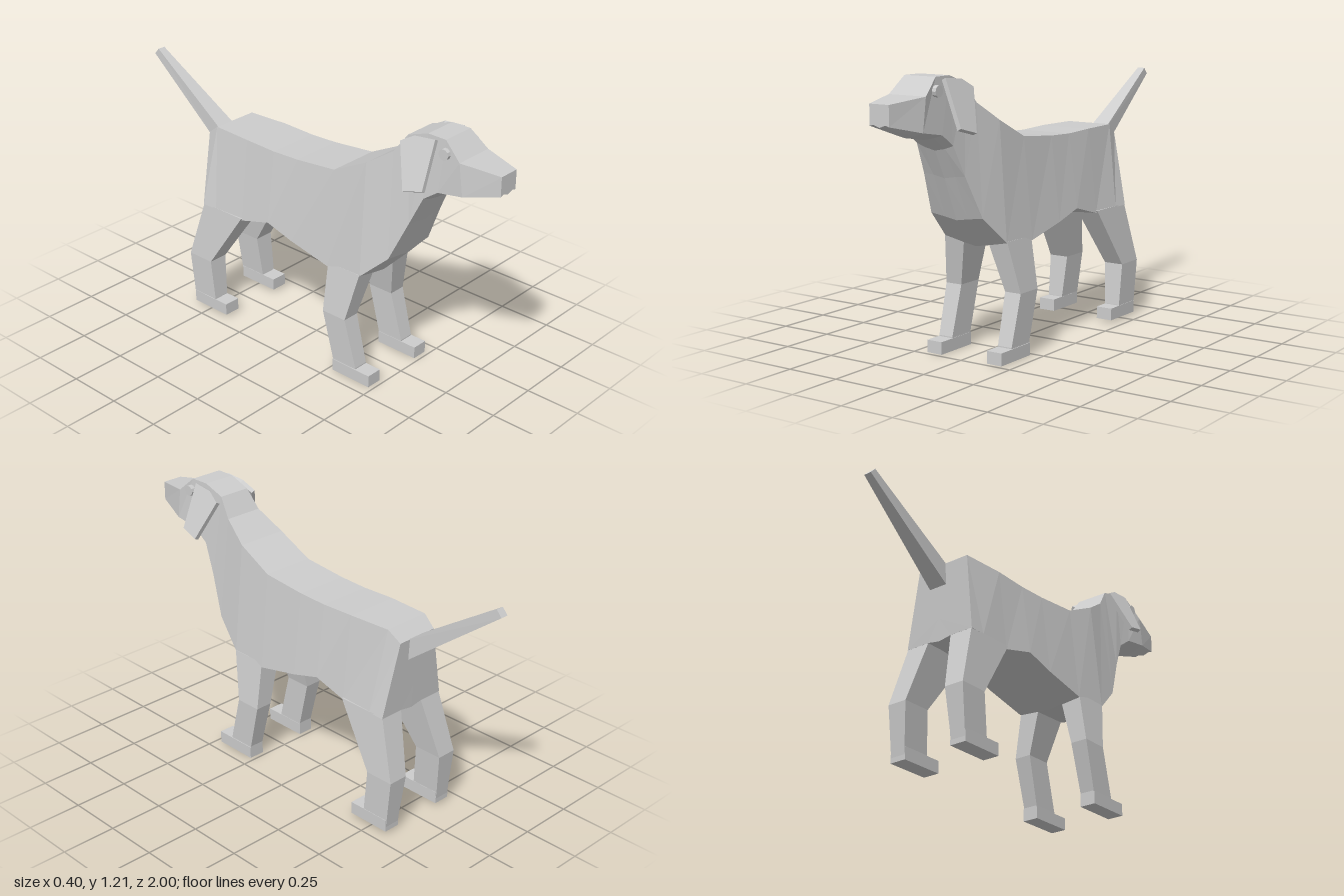
import * as THREE from 'three';

const coat = new THREE.MeshStandardMaterial({ color: 0xcccccc, flatShading: true });
coat.name = 'grey coat';

// Closed faceted skin through rings of [x, y, z] points, always facing outward
function loft(rings) {
  const tris = [], n = rings[0].length;
  const centre = r => [0, 1, 2].map(k => r.reduce((s, p) => s + p[k], 0) / n);
  const first = rings[0], last = rings[rings.length - 1];
  const c0 = centre(first), c1 = centre(last);
  for (let j = 0; j < n; j++) {
    const k = (j + 1) % n;
    for (let i = 0; i < rings.length - 1; i++) {
      const a = rings[i], b = rings[i + 1];
      tris.push([a[j], a[k], b[j]], [a[k], b[k], b[j]]);
    }
    tris.push([first[k], first[j], c0], [last[j], last[k], c1]);
  }
  // Signed volume tells whether the winding must be reversed
  let volume = 0;
  for (const t of tris) {
    const [a, b, c] = t.map(p => new THREE.Vector3(...p));
    volume += a.dot(b.cross(c));
  }
  if (volume < 0) tris.forEach(t => t.reverse());
  const g = new THREE.BufferGeometry();
  g.setAttribute('position', new THREE.Float32BufferAttribute(tris.flat(2), 3));
  g.computeVertexNormals();
  return g;
}

function part(name, geometry) {
  const m = new THREE.Mesh(geometry, coat);
  m.name = name;
  return m;
}

// Torso section: flat top edge, flared lower edge, shallow keel
function bodyRing([zt, yt, wt, zs, ys, ws, yb, wb]) {
  const half = [[wt, yt, zt], [ws, ys, zs], [wb, yb + 0.01, zs]];
  const other = half.map(([x, y, z]) => [-x, y, z]).reverse();
  return [...half, [0, yb, zs], ...other];
}

// Leg section: height, front z, back z, inner x, outer x
function legRing([y, zf, zb, xi, xo], s) {
  return [[s * xi, y, zf], [s * xo, y, zf], [s * xo, y, zb], [s * xi, y, zb]];
}

export function createModel() {
  const dog = new THREE.Group();
  dog.name = 'dog';

  // Head: muzzle, brow and skull
  dog.add(part('head', loft([
    [1.0, 1.12, 0.048, 1.0, 1.035, 0.048, 1.03, 0.03],
    [0.83, 1.14, 0.092, 0.85, 1.0, 0.092, 0.975, 0.05],
    [0.75, 1.21, 0.078, 0.73, 0.98, 0.092, 0.955, 0.05],
    [0.66, 1.21, 0.076, 0.66, 0.93, 0.092, 0.905, 0.05],
  ].map(bodyRing))));

  // Neck, chest, barrel and rump
  dog.add(part('body', loft([
    [0.66, 1.21, 0.076, 0.66, 0.93, 0.092, 0.905, 0.05],
    [0.56, 1.175, 0.076, 0.60, 0.80, 0.105, 0.785, 0.055],
    [0.50, 1.09, 0.09, 0.52, 0.62, 0.132, 0.60, 0.06],
    [0.38, 1.01, 0.118, 0.39, 0.50, 0.16, 0.47, 0.06],
    [0.21, 0.925, 0.122, 0.21, 0.485, 0.165, 0.465, 0.06],
    [0, 0.905, 0.122, 0, 0.53, 0.165, 0.51, 0.06],
    [-0.14, 0.90, 0.122, -0.14, 0.57, 0.165, 0.548, 0.06],
    [-0.30, 0.905, 0.122, -0.30, 0.525, 0.165, 0.51, 0.06],
    [-0.50, 0.905, 0.11, -0.46, 0.53, 0.172, 0.52, 0.06],
    [-0.56, 0.86, 0.1, -0.538, 0.53, 0.175, 0.52, 0.06],
  ].map(bodyRing))));

  // Tail
  const tailRing = (w, yt, zt, yb, zb) =>
    [[w, yt, zt], [-w, yt, zt], [-w, yb, zb], [w, yb, zb]];
  dog.add(part('tail', loft([
    tailRing(0.045, 0.85, -0.54, 0.755, -0.54),
    tailRing(0.018, 1.128, -0.975, 1.1, -1.0),
  ])));

  const frontLeg = [
    [0.505, 0.39, 0.215, 0.06, 0.162], [0.28, 0.34, 0.215, 0.115, 0.195],
    [0.06, 0.40, 0.27, 0.12, 0.19], [0.01, 0.40, 0.27, 0.12, 0.19]];
  const hindLeg = [
    [0.535, -0.30, -0.536, 0.06, 0.172], [0.26, -0.48, -0.615, 0.105, 0.198],
    [0.07, -0.46, -0.595, 0.12, 0.195], [0.02, -0.46, -0.59, 0.12, 0.195]];

  for (const s of [1, -1]) {
    const side = s > 0 ? 'left' : 'right';

    // Legs and paws
    dog.add(part(side + 'FrontLeg', loft(frontLeg.map(r => legRing(r, s)))));
    dog.add(part(side + 'HindLeg', loft(hindLeg.map(r => legRing(r, s)))));
    const frontPaw = part(side + 'FrontPaw', new THREE.BoxGeometry(0.075, 0.055, 0.208));
    frontPaw.position.set(s * 0.156, 0.0275, 0.374);
    const hindPaw = part(side + 'HindPaw', new THREE.BoxGeometry(0.078, 0.055, 0.203));
    hindPaw.position.set(s * 0.158, 0.04, -0.49);
    dog.add(frontPaw, hindPaw);

    // Ear: thin slab hanging outward from the skull
    const outline = [[1.195, 0.71], [1.0, 0.715], [0.975, 0.625], [1.15, 0.55], [1.185, 0.61]];
    const slab = t => outline.map(([y, z]) =>
      [s * (0.077 + (1.195 - y) * 0.4 + t), y + t * 0.5, z]);
    dog.add(part(side + 'Ear', loft([slab(0), slab(0.018)])));

    // Eye
    const eye = part(side + 'Eye', new THREE.CylinderGeometry(0.024, 0.024, 0.03, 10));
    eye.rotation.z = Math.PI / 2;
    eye.position.set(s * 0.086, 1.155, 0.757);
    dog.add(eye);
  }
  return dog;
}
